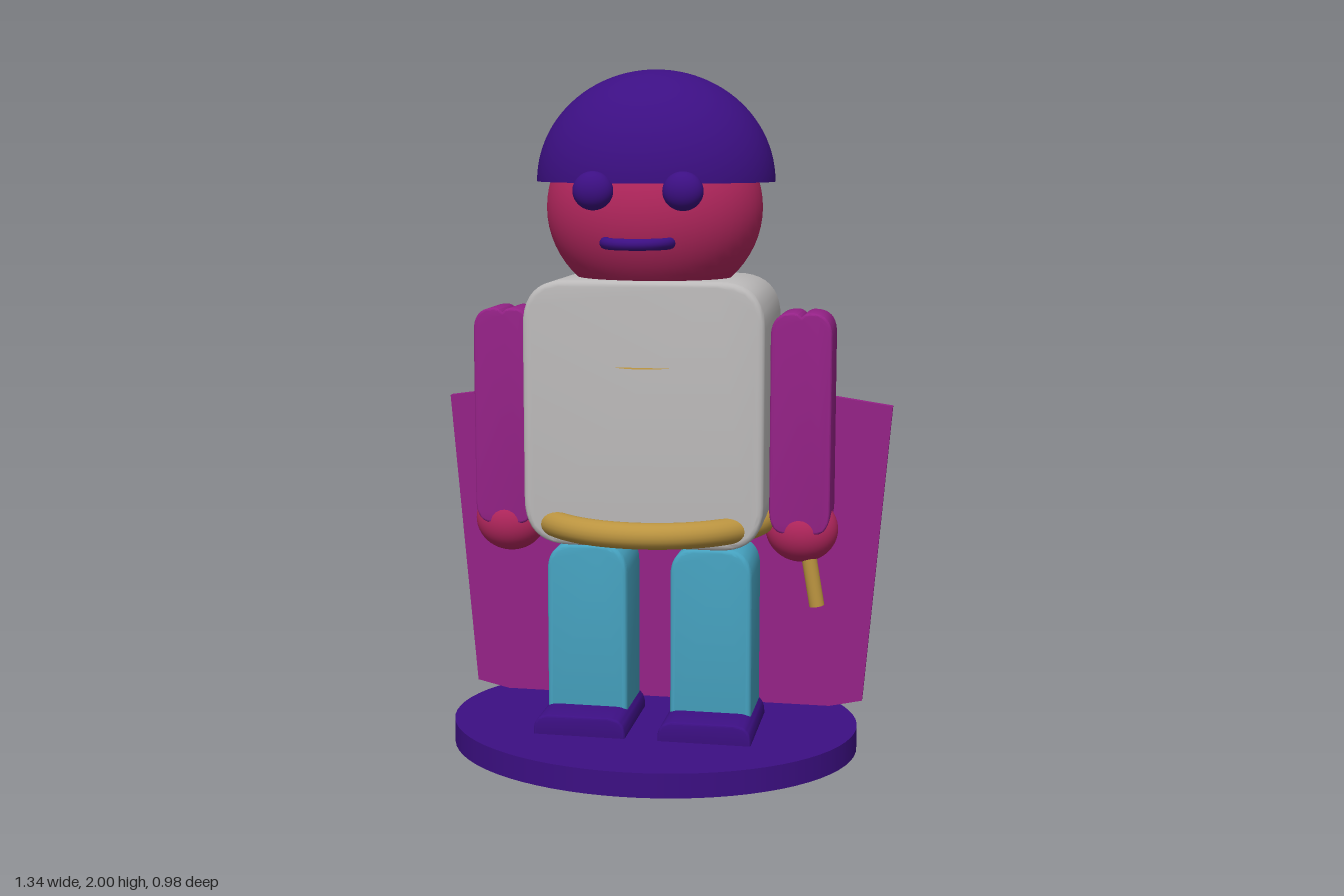
import * as THREE from 'three';
import { toCreasedNormals } from 'three/addons/utils/BufferGeometryUtils.js';

const material = (name, color, side = THREE.FrontSide) => {
  const m = new THREE.MeshStandardMaterial({ color, side });
  m.name = name;
  return m;
};

// Rounded rectangle with separate radii for the top and bottom corners
function roundedRect(x0, x1, y0, y1, top, bottom) {
  const s = new THREE.Shape();
  s.moveTo(x0 + bottom, y0);
  s.lineTo(x1 - bottom, y0);
  s.quadraticCurveTo(x1, y0, x1, y0 + bottom);
  s.lineTo(x1, y1 - top);
  s.quadraticCurveTo(x1, y1, x1 - top, y1);
  s.lineTo(x0 + top, y1);
  s.quadraticCurveTo(x0, y1, x0, y1 - top);
  s.lineTo(x0, y0 + bottom);
  s.quadraticCurveTo(x0, y0, x0 + bottom, y0);
  return s;
}

// Extrude from z0 to z1, with the bevel kept inside the outline
function extrude(shape, z0, z1, bevel = 0) {
  const g = new THREE.ExtrudeGeometry(shape, {
    depth: z1 - z0 - 2 * bevel, curveSegments: 10,
    bevelEnabled: bevel > 0, bevelThickness: bevel, bevelSize: bevel,
    bevelOffset: -bevel, bevelSegments: 3,
  });
  g.translate(0, 0, z0 + bevel);
  return toCreasedNormals(g, 0.6);
}

const ellipsoid = (rx, ry, rz) => new THREE.SphereGeometry(1, 48, 32).scale(rx, ry, rz);

export function createModel() {
  const model = new THREE.Group();
  model.name = 'figurine';

  const purple = material('deep purple', 0x3c0f83);
  const skin = material('crimson', 0xb6275f);
  const grey = material('light grey', 0xbcbaba);
  const magenta = material('magenta', 0x952287);
  const blue = material('blue', 0x46a3c1);
  const gold = material('gold', 0xbb9440);
  const goldPlate = material('gold plate', 0xbb9440, THREE.DoubleSide);

  const add = (name, geometry, mat, x = 0, y = 0, z = 0) => {
    const mesh = new THREE.Mesh(geometry, mat);
    mesh.name = name;
    mesh.position.set(x, y, z);
    model.add(mesh);
    return mesh;
  };

  // Oval stand
  add('base', new THREE.CylinderGeometry(1, 1, 0.07, 72).scale(0.596, 1, 0.488), purple, 0, 0.08, 0);

  // Flat cape, its lower point passing through the stand
  const cape = new THREE.Shape([
    [-0.672, 1.033], [-0.597, 0.137], [0, 0.003], [0.597, 0.137], [0.672, 1.033], [0, 1.13],
  ].map(([x, y]) => new THREE.Vector2(x, y)));
  add('cape', extrude(cape, -0.222, -0.197), magenta);

  // Torso and belt
  add('torso', extrude(roundedRect(-0.342, 0.342, 0.668, 1.42, 0.13, 0.13), -0.193, 0.197, 0.016), grey);
  add('belt', new THREE.TorusGeometry(0.3, 0.037, 20, 80).rotateX(Math.PI / 2).scale(1.065, 1, 1),
    gold, 0, 0.727, 0);

  // Thin chest ornament peeking out of the torso
  add('chestOrnament', new THREE.CircleGeometry(0.11, 40).rotateX(-Math.PI / 2), goldPlate, 0, 1.18, 0.122);

  // Head and domed cap with closed underside
  add('head', ellipsoid(0.308, 0.28, 0.252), skin, 0, 1.615, 0.002);
  add('cap', new THREE.SphereGeometry(1, 64, 24, 0, Math.PI * 2, 0, Math.PI / 2).scale(0.34, 0.312, 0.28),
    purple, 0, 1.688, -0.018);
  add('capUnderside', new THREE.CircleGeometry(1, 64).rotateX(Math.PI / 2).scale(0.34, 1, 0.28),
    purple, 0, 1.688, -0.018);

  // Half-ring mouth bulging forward
  add('mouth', new THREE.TorusGeometry(0.088, 0.016, 14, 32, Math.PI).rotateX(Math.PI / 2),
    purple, 0, 1.528, 0.25);

  // Arm outline with a double-humped top
  const arm = new THREE.Shape();
  arm.moveTo(-0.04, 0.7);
  arm.lineTo(0.04, 0.7);
  arm.quadraticCurveTo(0.086, 0.7, 0.086, 0.77);
  arm.lineTo(0.086, 1.26);
  arm.quadraticCurveTo(0.086, 1.328, 0.025, 1.328);
  arm.quadraticCurveTo(0.01, 1.328, 0, 1.316);
  arm.quadraticCurveTo(-0.01, 1.328, -0.025, 1.328);
  arm.quadraticCurveTo(-0.086, 1.328, -0.086, 1.26);
  arm.lineTo(-0.086, 0.77);
  arm.quadraticCurveTo(-0.086, 0.7, -0.04, 0.7);

  // Paired limbs and eyes
  for (const [side, s] of [['left', 1], ['right', -1]]) {
    add(side + 'Eye', ellipsoid(0.056, 0.053, 0.041), purple, s * 0.124, 1.668, 0.25);
    add(side + 'Arm', extrude(arm, -0.078, 0.08, 0.006), magenta, s * 0.43, 0, 0);
    add(side + 'Hand', ellipsoid(0.104, 0.096, 0.085), skin, s * 0.43, 0.702, 0.002);
    add(side + 'Leg', extrude(roundedRect(-0.118, 0.118, 0.13, 0.652, 0.085, 0.03), -0.1, 0.103, 0.012),
      blue, s * 0.181, 0, 0);
    add(side + 'Shoe', extrude(roundedRect(-0.134, 0.134, 0.1, 0.172, 0.05, 0.01), -0.1, 0.217, 0.006),
      purple, s * 0.181, 0, 0);
  }

  // Short rod held in the left hand
  const rod = add('rod', new THREE.CylinderGeometry(0.022, 0.022, 0.2, 20), gold, 0.461, 0.58, 0.02);
  rod.rotation.z = 0.17;

  return model;
}
